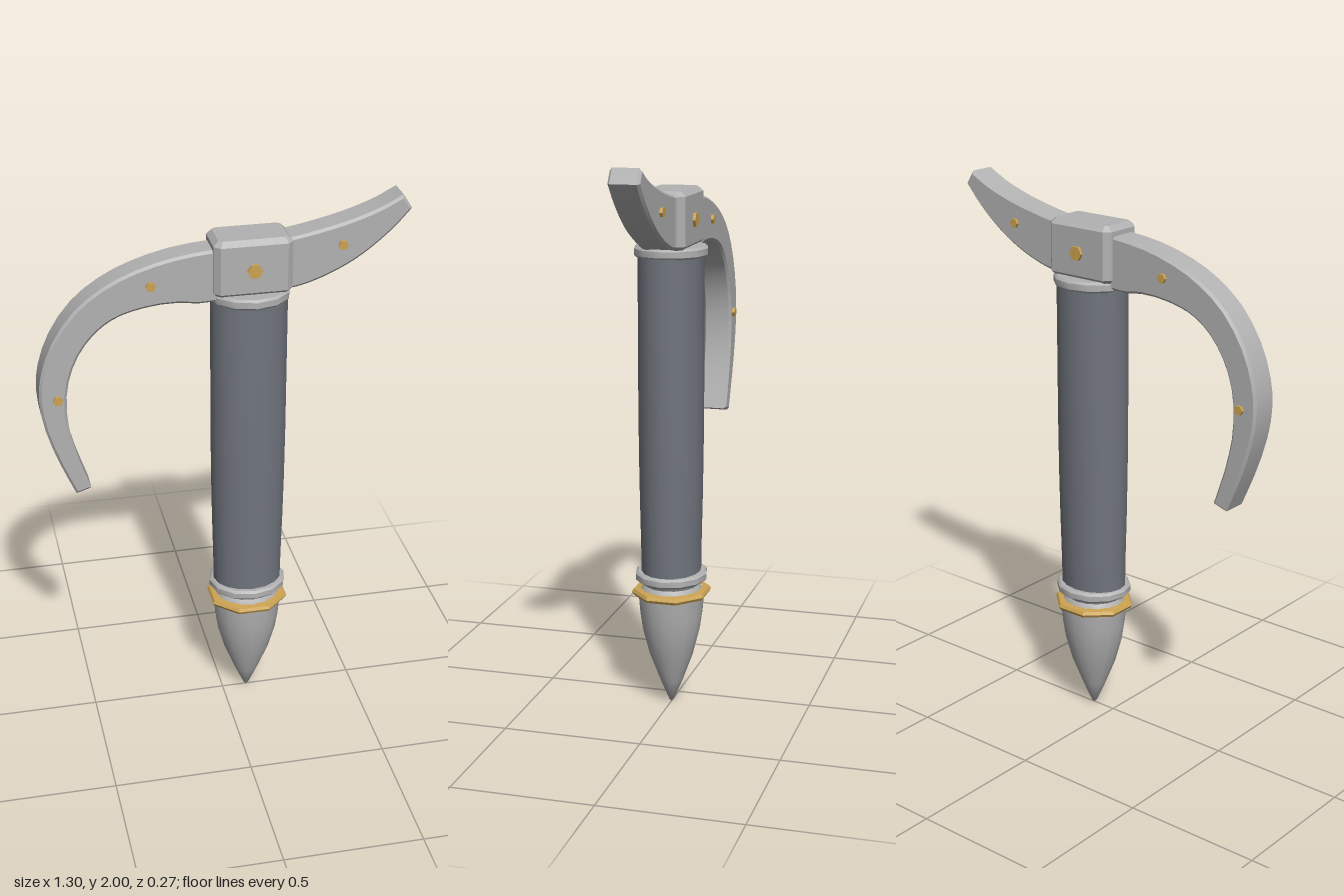
import * as THREE from 'three';
import { toCreasedNormals } from 'three/addons/utils/BufferGeometryUtils.js';

const AXIS = 0.093; // x of the shaft's centre line

export function createModel() {
  const group = new THREE.Group();
  const steel = new THREE.MeshStandardMaterial({ color: 0xb2b2b2 });
  const grip = new THREE.MeshStandardMaterial({ color: 0x71757e });
  const brass = new THREE.MeshStandardMaterial({ color: 0xcca352 });

  const add = (name, geometry, material, x = 0, y = 0, z = 0) => {
    const mesh = new THREE.Mesh(geometry, material);
    mesh.name = name;
    mesh.position.set(x, y, z);
    group.add(mesh);
    return mesh;
  };

  // Turned part around the shaft axis, slightly flattened in z
  const turned = (name, profile, sides, flatten, material, crease = 0.6, turn = 0) => {
    const points = profile.map(([r, y]) => new THREE.Vector2(r, y));
    const geometry = new THREE.LatheGeometry(points, sides, turn);
    geometry.scale(1, 1, flatten);
    return add(name, toCreasedNormals(geometry, crease), material, AXIS);
  };

  // Flat bar cut from a top and a bottom curve, with bevelled edges
  const bar = (name, top, bottom, halfDepth) => {
    const smooth = (pts) => new THREE.CatmullRomCurve3(
      pts.map(([x, y]) => new THREE.Vector3(x, y, 0))).getPoints(22)
      .map((p) => new THREE.Vector2(p.x, p.y));
    const shape = new THREE.Shape([...smooth(top), ...smooth(bottom)]);
    const bevel = 0.009;
    const geometry = new THREE.ExtrudeGeometry(shape, {
      depth: 2 * (halfDepth - bevel), bevelEnabled: true, bevelSegments: 1,
      bevelSize: bevel, bevelThickness: bevel, bevelOffset: -bevel,
    });
    geometry.translate(0, 0, bevel - halfDepth);
    add(name, toCreasedNormals(geometry, 0.5), steel);
  };

  // Pointed tip with a waisted neck
  turned('tip', [[0.001, 0], [0.01, 0.01], [0.045, 0.09], [0.085, 0.19], [0.111, 0.285],
    [0.121, 0.35], [0.127, 0.42]], 16, 0.94, steel, 0.8);
  turned('neck', [[0.127, 0.42], [0.122, 0.44], [0.107, 0.46], [0.122, 0.485]],
    16, 0.93, steel, 0.8);

  // Eight-sided brass ring, flats facing front and back
  turned('brassRing', [[0.12, 0.418], [0.146, 0.421], [0.153, 0.432], [0.146, 0.443], [0.12, 0.446]],
    8, 0.945, brass, 0.5, Math.PI / 8);

  // Tapering grip between two collars
  turned('shaft', [[0.127, 0.5], [0.129, 0.62], [0.133, 0.78], [0.136, 0.95], [0.1375, 1.15],
    [0.1375, 1.67]], 16, 0.84, grip, 0.8);
  for (const [name, low, high] of [['lowerCollar', 0.477, 0.513], ['upperCollar', 1.655, 1.693]]) {
    turned(name, [[0, low], [0.135, low], [0.144, low + 0.008], [0.144, high - 0.008],
      [0.135, high], [0, high]], 12, 0.91, steel);
  }

  // Chamfered head block
  const w = 0.138, d = 0.084, c = 0.022;
  const outline = new THREE.Shape([
    [-w + c, -d], [w - c, -d], [w, -d + c], [w, d - c],
    [w - c, d], [-w + c, d], [-w, d - c], [-w, -d + c],
  ].map(([x, z]) => new THREE.Vector2(x, z)));
  const block = new THREE.ExtrudeGeometry(outline, {
    depth: 0.17, bevelEnabled: true, bevelSegments: 1,
    bevelSize: 0.018, bevelThickness: 0.018, bevelOffset: -0.018,
  });
  block.rotateX(-Math.PI / 2);
  add('headBlock', block, steel, AXIS, 1.702, 0);

  // Curved hook on one side, upswept spike on the other
  bar('hook',
    [[0.06, 1.86], [-0.045, 1.855], [-0.177, 1.839], [-0.31, 1.803], [-0.42, 1.752],
      [-0.52, 1.675], [-0.6, 1.563], [-0.643, 1.447], [-0.654, 1.352], [-0.638, 1.235],
      [-0.592, 1.093], [-0.54, 0.97]],
    [[-0.486, 0.987], [-0.532, 1.13], [-0.558, 1.262], [-0.553, 1.394], [-0.516, 1.5],
      [-0.458, 1.58], [-0.389, 1.632], [-0.31, 1.659], [-0.188, 1.674], [-0.045, 1.664],
      [0.06, 1.71]], 0.054);
  bar('spike',
    [[0.648, 1.95], [0.59, 1.886], [0.51, 1.817], [0.431, 1.765], [0.325, 1.717],
      [0.23, 1.693], [0.13, 1.7]].reverse(),
    [[0.616, 2.0], [0.537, 1.96], [0.431, 1.923], [0.325, 1.897], [0.23, 1.879], [0.13, 1.87]],
    0.054);

  // Hexagonal rivets passing right through the bars and block
  for (const [x, y, r, half] of [[-0.59, 1.35, 0.0175, 0.065], [-0.26, 1.746, 0.0175, 0.065],
    [0.407, 1.84, 0.0175, 0.065], [AXIS, 1.783, 0.027, 0.094]]) {
    const rivet = new THREE.CylinderGeometry(r, r, 2 * half, 6).toNonIndexed();
    rivet.computeVertexNormals();
    rivet.rotateY(Math.PI / 2).rotateX(Math.PI / 2);
    add('rivet', rivet, brass, x, y, 0);
  }

  return group;
}
